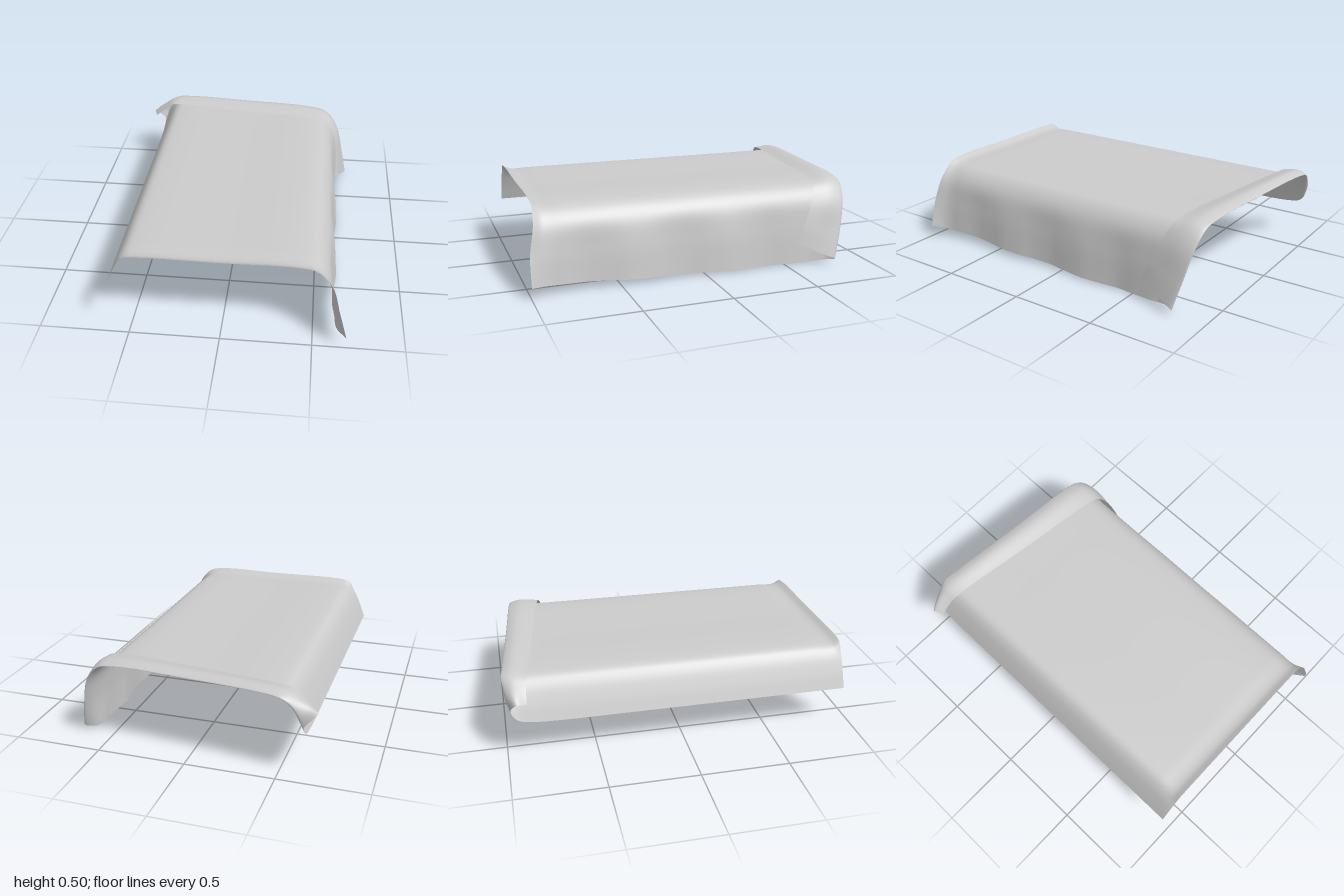
import * as THREE from 'three';

// Cross-sections run from the hem at -x, over the flat top, to the long hem at +x.
const PROFILE = [[-0.642, 0.235], [-0.605, 0.33], [-0.56, 0.42], [-0.52, 0.46], [-0.45, 0.473], [0, 0.473],
  [0.42, 0.473], [0.51, 0.452], [0.572, 0.38], [0.6, 0.24], [0.605, 0.02]];
const FOLD = [[-0.635, 0.31, -0.965], [-0.615, 0.37, -0.985], [-0.58, 0.43, -0.993], [-0.53, 0.472, -1],
  [-0.45, 0.485, -0.99], [0, 0.49, -0.945], [0.43, 0.485, -0.908], [0.53, 0.46, -0.897], [0.605, 0.37, -0.878],
  [0.655, 0.2, -0.84], [0.69, 0.04, -0.795]];
const FLAP_TOP = [[-0.7, 0.385, -0.935], [-0.665, 0.415, -0.945], [-0.61, 0.452, -0.95], [-0.55, 0.488, -0.95],
  [-0.45, 0.505, -0.94], [0, 0.511, -0.89], [0.43, 0.503, -0.845], [0.54, 0.475, -0.83], [0.612, 0.38, -0.8],
  [0.65, 0.21, -0.75], [0.675, 0.07, -0.72]];
const FLAP_EDGE = [[-0.68, 0.375, -0.88], [-0.645, 0.41, -0.875], [-0.6, 0.45, -0.87], [-0.55, 0.48, -0.86],
  [-0.45, 0.487, -0.848], [0, 0.489, -0.785], [0.43, 0.486, -0.73], [0.54, 0.463, -0.712], [0.595, 0.38, -0.675],
  [0.625, 0.25, -0.62], [0.635, 0.14, -0.575]];

// Section of the draped cloth at depth z, with a wavy hem on the long side.
function drapeRib(z) {
  const wave = 0.013 * Math.sin((z + 0.3) * 11.4) * THREE.MathUtils.smoothstep(z, -0.7, -0.3);
  const hem = 0.012 + 0.055 * Math.pow((z + 0.7) / 1.65, 1.6);
  return PROFILE.map(([x, y], i) => new THREE.Vector3(
    x + (i === 10 ? wave + 0.012 : i === 9 ? wave * 0.6 : 0), i === 10 ? hem : y, z));
}

// Front edge with a slight raised lip and a flared corner.
function frontRib() {
  const rib = drapeRib(0.955);
  for (let i = 3; i <= 7; i++) rib[i].y += 0.022;
  rib[8].set(0.59, 0.39, 0.965);
  rib[9].set(0.637, 0.24, 0.995);
  rib[10].set(0.68, 0.08, 1);
  return rib;
}

// Section just before the fold, blending the drape into the slanted fold line.
function blendRib(t, inset) {
  return PROFILE.map(([x, y], i) => {
    const f = FOLD[i];
    return new THREE.Vector3(THREE.MathUtils.lerp(x, f[0], t),
      THREE.MathUtils.lerp(i === 10 ? 0.01 : y, f[1], t), f[2] + inset);
  });
}

// Smooth surface through the ribs.
function loft(ribs, across = 6, along = 6) {
  const cols = (ribs[0].length - 1) * across, rows = (ribs.length - 1) * along;
  const rails = ribs[0].map((_, i) => new THREE.CatmullRomCurve3(ribs.map((r) => r[i])));
  const pos = [], index = [];
  for (let r = 0; r <= rows; r++) {
    const section = new THREE.CatmullRomCurve3(rails.map((c) => c.getPoint(r / rows)));
    for (let c = 0; c <= cols; c++) {
      pos.push(...section.getPoint(c / cols).toArray());
      if (r < rows && c < cols) {
        const a = r * (cols + 1) + c, d = a + cols + 1;
        index.push(a, a + 1, d, a + 1, d + 1, d);
      }
    }
  }
  const geo = new THREE.BufferGeometry();
  geo.setAttribute('position', new THREE.Float32BufferAttribute(pos, 3));
  geo.setIndex(index);
  geo.computeVertexNormals();
  return geo;
}

export function createModel() {
  const group = new THREE.Group();
  group.name = 'drapedBlanket';
  const toRib = (points) => points.map((p) => new THREE.Vector3(...p));

  // One continuous sheet: front lip, drape, fold, then the turned-back flap.
  const ribs = [frontRib(), drapeRib(0.91)];
  for (let z = 0.8; z > -0.66; z -= 0.12) ribs.push(drapeRib(z));
  ribs.push(blendRib(0.1, 0.12), blendRib(0.35, 0.035), toRib(FOLD), toRib(FLAP_TOP), toRib(FLAP_EDGE));

  const material = new THREE.MeshStandardMaterial({ color: 0xcccccc, side: THREE.DoubleSide });
  const sheet = new THREE.Mesh(loft(ribs), material);
  sheet.name = 'blanketWithFoldedEnd';
  group.add(sheet);
  return group;
}
